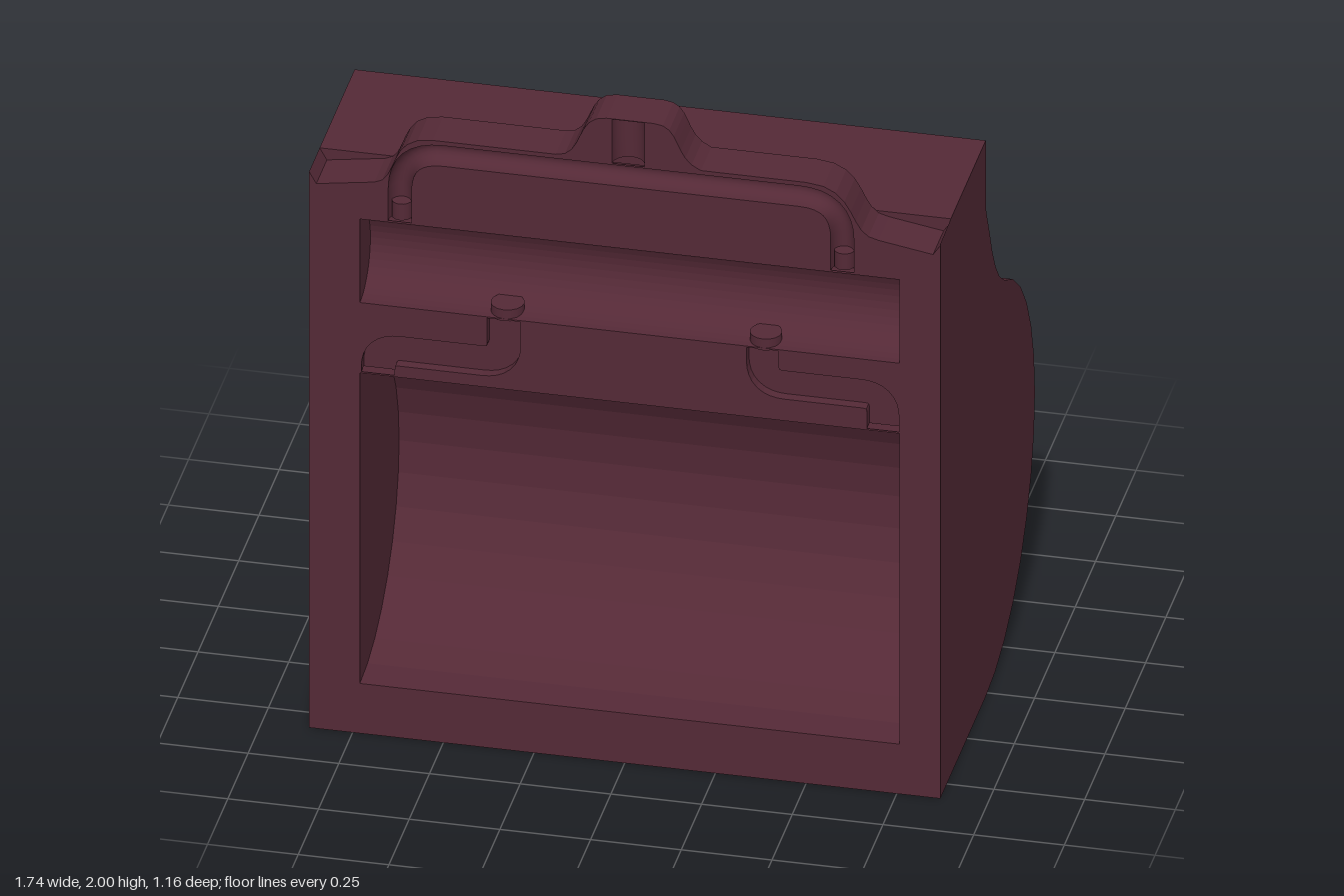
import * as THREE from 'three';

const FRONT = 0.58, LIP_BACK = 0.45, HALF_W = 0.87;
const V2 = (x, y) => new THREE.Vector2(x, y);
const V3 = (x, y, z) => new THREE.Vector3(x, y, z);

// Surface through rows of points; flat facets unless smooth
function loft(rows, smooth = false) {
  const n = rows[0].length, index = [];
  for (let i = 0; i < rows.length - 1; i++) {
    for (let j = 0; j < n - 1; j++) {
      const a = i * n + j, b = a + n;
      index.push(a, b, a + 1, b, b + 1, a + 1);
    }
  }
  let geo = new THREE.BufferGeometry().setFromPoints(rows.flat());
  geo.setIndex(index);
  if (!smooth) geo = geo.toNonIndexed();
  geo.computeVertexNormals();
  return geo;
}

// Flat plate facing +x, from [z, y] points
function sidePlate(points, x) {
  const shape = new THREE.Shape(points.map(([z, y]) => V2(-z, y)));
  return new THREE.ShapeGeometry(shape).rotateY(Math.PI / 2).translate(x, 0, 0);
}

// Polyline with rounded corners
function roundedPath(points, radius) {
  const path = new THREE.Path();
  path.moveTo(points[0].x, points[0].y);
  for (let i = 1; i < points.length - 1; i++) {
    const p = points[i];
    const a = p.clone().add(points[i - 1].clone().sub(p).setLength(radius));
    const b = p.clone().add(points[i + 1].clone().sub(p).setLength(radius));
    path.lineTo(a.x, a.y);
    path.quadraticCurveTo(p.x, p.y, b.x, b.y);
  }
  const end = points[points.length - 1];
  path.lineTo(end.x, end.y);
  return path.getPoints(8);
}

// Unit sideways vector at each point of a path
function sideways(path) {
  return path.map((p, i) => {
    const a = path[Math.max(i - 1, 0)], b = path[Math.min(i + 1, path.length - 1)];
    const t = b.clone().sub(a).normalize();
    return V2(-t.y, t.x);
  });
}

// Outline of a groove where it opens on the front face
function grooveOutline({ path, half }) {
  const s = sideways(path);
  const left = path.map((p, i) => p.clone().addScaledVector(s[i], half));
  const right = path.map((p, i) => p.clone().addScaledVector(s[i], -half));
  return [...left, ...right.reverse()];
}

// Inner surface of a groove, from a section of [side, depth] pairs
function grooveSurface({ path, half, section, smooth }) {
  const s = sideways(path);
  return loft(path.map((p, i) => section.map(([u, d]) =>
    V3(p.x + s[i].x * u * half, p.y + s[i].y * u * half, FRONT - d))), smooth);
}

export function createModel() {
  const model = new THREE.Group();
  model.name = 'castingMouldHalf';
  const maroon = new THREE.MeshStandardMaterial({ color: 0x542936, side: THREE.DoubleSide });
  maroon.name = 'maroon';
  const add = (name, geo) => {
    const mesh = new THREE.Mesh(geo, maroon);
    mesh.name = name;
    model.add(mesh);
    return mesh;
  };

  // Body: round belly, concave neck, square shoulder
  const profile = [[FRONT, 0]];
  for (let i = 0; i <= 14; i++) {
    const a = i * Math.PI / 16;
    profile.push([0.02 - 0.605 * Math.sin(a), 0.605 - 0.605 * Math.cos(a)]);
  }
  profile.push([-0.15, 1.21], [-0.1, 1.27], [-0.06, 1.34], [-0.03, 1.41], [0, 1.475],
    [0.02, 1.52], [0.02, 1.73], [LIP_BACK, 1.73]);
  const wall = [...profile, [LIP_BACK, 1.6]];
  add('bodyShell', loft(wall.map(([z, y]) => [V3(-HALF_W, y, z), V3(HALF_W, y, z)])));
  for (const side of [-1, 1]) {
    add(side > 0 ? 'leftSide' : 'rightSide', sidePlate([...profile, [FRONT, 1.725]], side * HALF_W));
  }

  // Raised lip along the front of the top, drawn from left to right
  const lip = new THREE.Path();
  lip.moveTo(-HALF_W, 1.73);
  lip.lineTo(-0.85, 1.695);
  lip.lineTo(-0.69, 1.72);
  lip.bezierCurveTo(-0.62, 1.73, -0.66, 1.87, -0.53, 1.87);
  lip.lineTo(-0.19, 1.87);
  lip.bezierCurveTo(-0.11, 1.87, -0.14, 2, -0.05, 2);
  lip.lineTo(0.08, 2);
  lip.bezierCurveTo(0.16, 2, 0.13, 1.9, 0.21, 1.87);
  lip.lineTo(0.5, 1.87);
  lip.bezierCurveTo(0.65, 1.87, 0.61, 1.72, 0.7, 1.715);
  lip.lineTo(0.85, 1.69);
  lip.lineTo(HALF_W, 1.72);
  const lipPoints = lip.getPoints(8);
  add('lipEdge', loft(lipPoints.map(p => [V3(p.x, p.y, FRONT), V3(p.x, p.y, LIP_BACK)])));
  const lipShape = new THREE.Shape([V2(HALF_W, 1.6), ...lipPoints.slice().reverse(), V2(-HALF_W, 1.6)]);
  add('lipBack', new THREE.ShapeGeometry(lipShape).translate(0, 0, LIP_BACK));

  // Grooves cut into the front face
  const round = [];
  for (let i = 0; i <= 10; i++) {
    const a = i * Math.PI / 10;
    round.push([Math.cos(a), 0.045 * Math.sin(a)]);
  }
  const square = [[1, 0], [1, 0.03], [-1, 0.03], [-1, 0]];
  const grooves = [
    { name: 'handleGroove', half: 0.032, section: round, smooth: true, path: roundedPath(
      [V2(-0.62, 1.606), V2(-0.62, 1.825), V2(0.6, 1.825), V2(0.6, 1.606)], 0.12) },
    { name: 'pourSpout', half: 0.045, section: round, smooth: true,
      path: [V2(0.01, 1.862), V2(0.01, 1.998)] },
    { name: 'rightChannel', half: 0.046, section: square, path: roundedPath(
      [V2(-0.333, 1.336), V2(-0.333, 1.202), V2(-0.68, 1.202), V2(-0.68, 1.126)], 0.06) },
    { name: 'leftChannel', half: 0.044, section: square, path: roundedPath(
      [V2(0.38, 1.336), V2(0.38, 1.232), V2(0.712, 1.232), V2(0.712, 1.126)], 0.06) },
  ];

  // Two half-round cavities with end walls
  const cavities = [
    { name: 'lowerCavity', y: 0.638, r: 0.483, segments: 16 },
    { name: 'upperCavity', y: 1.47, r: 0.13, segments: 20 },
  ];
  const x0 = -0.73, x1 = 0.757;
  const cavityOutlines = cavities.map(({ name, y, r, segments }) => {
    const arc = [];
    for (let i = 0; i <= segments; i++) {
      const a = i * Math.PI / segments;
      arc.push([FRONT - r * Math.sin(a), y + r * Math.cos(a)]);
    }
    add(name, loft(arc.map(([z, h]) => [V3(x0, h, z), V3(x1, h, z)])));
    for (const x of [x0, x1]) add(name + 'End', sidePlate(arc, x));
    return [V2(x0, y - r), V2(x1, y - r), V2(x1, y + r), V2(x0, y + r)];
  });

  // Front face with all the openings
  const face = new THREE.Shape([V2(-HALF_W, 0), V2(HALF_W, 0), ...lipPoints.slice().reverse()]);
  for (const outline of cavityOutlines) face.holes.push(new THREE.Path(outline));
  for (const groove of grooves) {
    face.holes.push(new THREE.Path(grooveOutline(groove)));
    add(groove.name, grooveSurface(groove));
  }
  add('frontFace', new THREE.ShapeGeometry(face).translate(0, 0, FRONT));

  // Small round stubs at the groove ends
  for (const [x, y, r, h] of [[-0.333, 1.35, 0.046, 0.035], [0.38, 1.35, 0.044, 0.035],
    [-0.62, 1.635, 0.028, 0.05], [0.6, 1.635, 0.028, 0.05]]) {
    add('grooveStub', new THREE.CylinderGeometry(r, r, h, 16)).position.set(x, y, FRONT - r);
  }
  return model;
}
